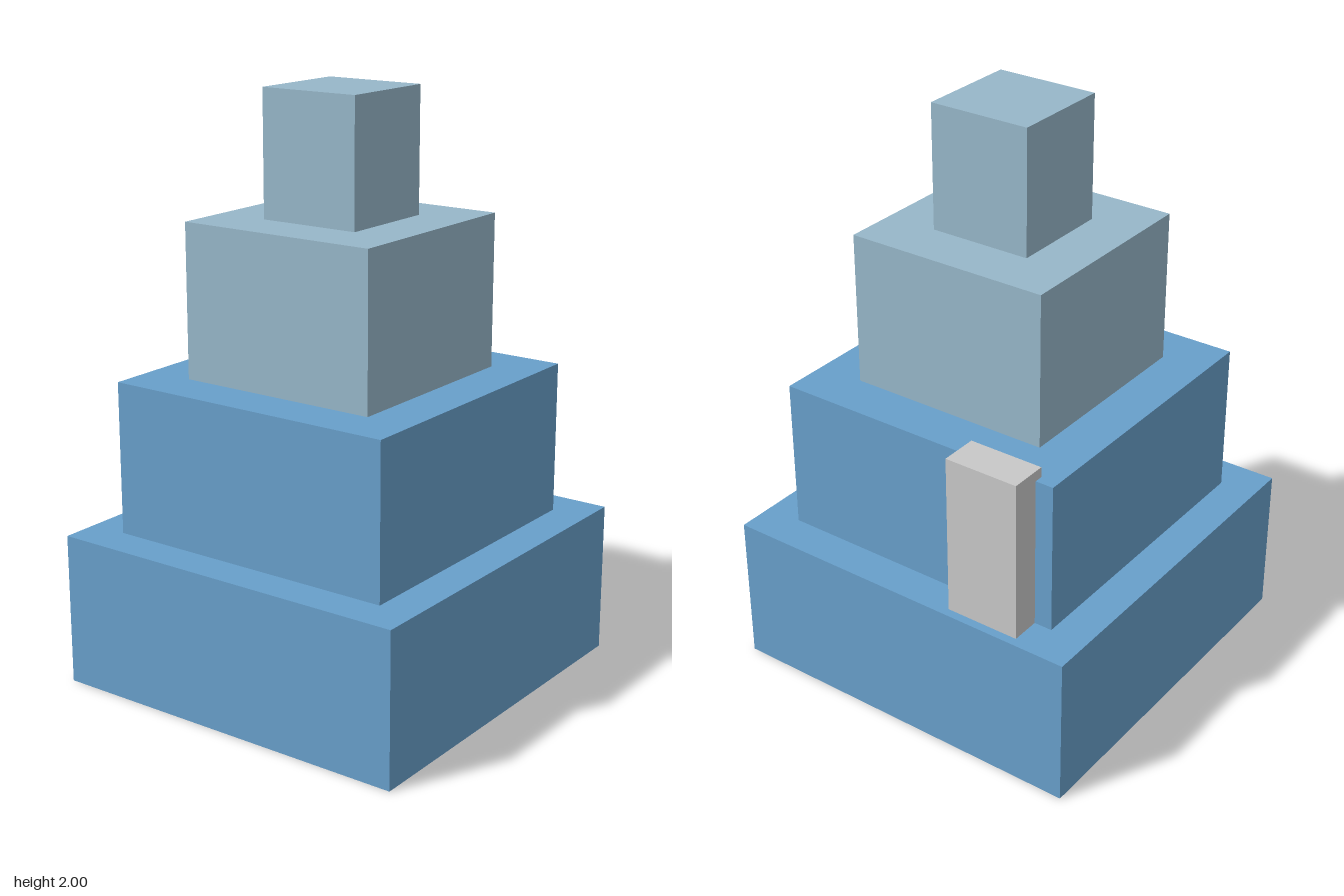
import * as THREE from 'three';

export function createModel() {
  const model = new THREE.Group();
  model.name = 'steppedTower';

  const material = (name, color) => {
    const m = new THREE.MeshStandardMaterial({ color });
    m.name = name;
    return m;
  };
  const blue = material('blue', 0x689fca);
  const paleBlue = material('paleBlue', 0x97b7c9);
  const grey = material('grey', 0xc8c8c8);

  // Adds a box standing on height y
  const addBlock = (name, mat, [w, h, d], x, y, z) => {
    const mesh = new THREE.Mesh(new THREE.BoxGeometry(w, h, d), mat);
    mesh.name = name;
    mesh.position.set(x, y + h / 2, z);
    model.add(mesh);
  };

  // Square tiers stacked from the ground up: name, material, width, height
  const tiers = [
    ['baseTier', blue, 1.31, 0.525],
    ['lowerTier', blue, 1.048, 0.525],
    ['upperTier', paleBlue, 0.72, 0.525],
    ['topTier', paleBlue, 0.36, 0.425],
  ];
  let y = 0;
  for (const [name, mat, width, height] of tiers) {
    addBlock(name, mat, [width, height, width], 0, y, 0);
    y += height;
  }

  // Upright slab against the back of the lower tier
  addBlock('backSlab', grey, [0.262, 0.56, 0.13], -0.33, 0.525, -0.56);

  return model;
}
